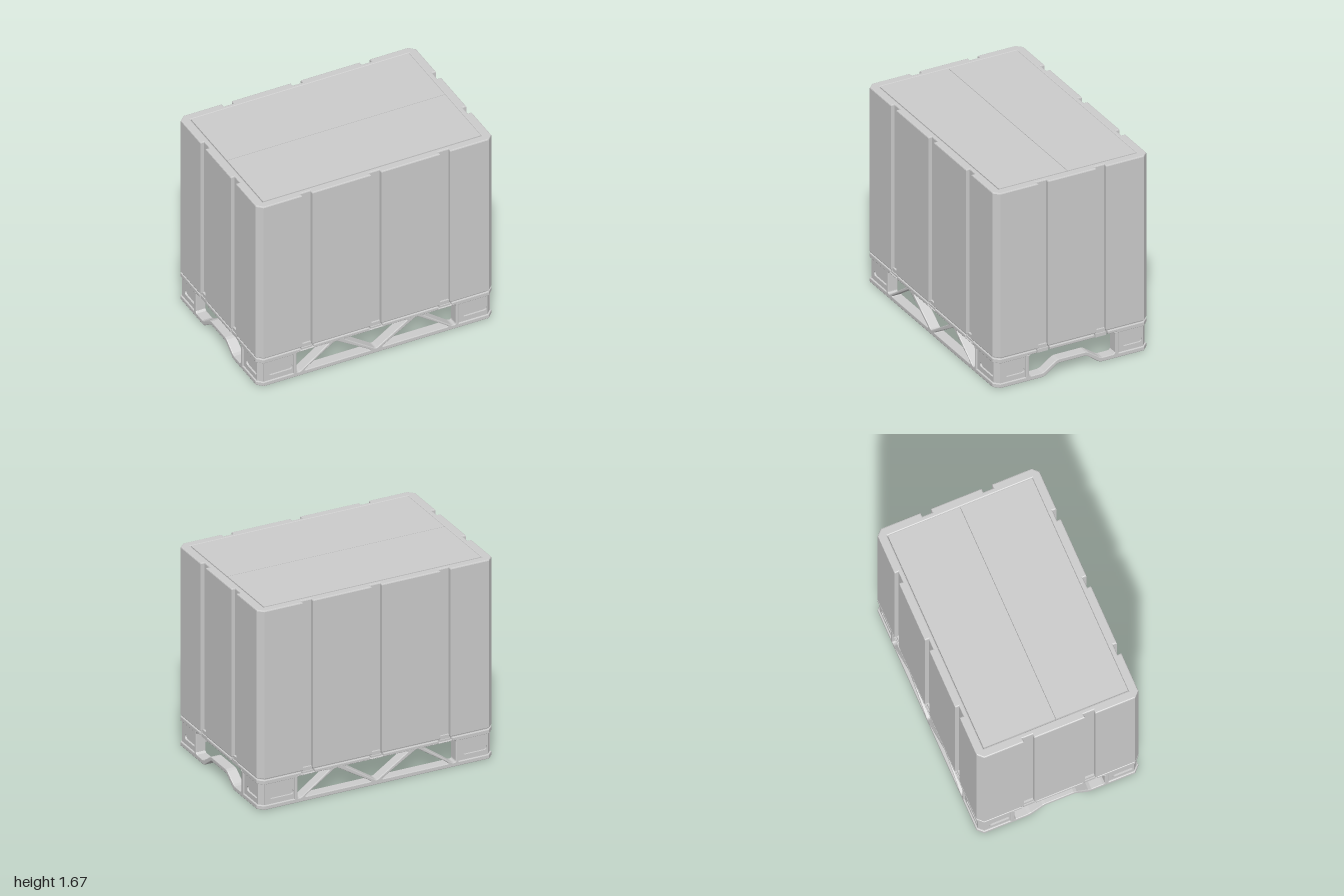
import * as THREE from 'three';

const X = 1, Z = 0.663, CH = 0.045;      // half sizes and corner chamfer
const TOP = 1.67, DECK = 0.22;
const LONG_SLOTS = [-0.585, 0, 0.585];   // groove positions on the long sides
const END_SLOTS = [-0.25, 0.25];         // groove positions on the ends

const mat = new THREE.MeshStandardMaterial({ color: 0xcccccc });
const shapeOf = pts => new THREE.Shape(pts.map(p => new THREE.Vector2(p[0], p[1])));

// Extrusion with a small rounded edge kept inside the outline
function extrude(shape, depth, b = 0) {
  const g = new THREE.ExtrudeGeometry(shape, {
    depth: depth - 2 * b, bevelEnabled: b > 0, bevelSize: b, bevelThickness: b,
    bevelOffset: -b, bevelSegments: 2, curveSegments: 6,
  });
  return g.translate(0, 0, b);
}

// Floor-plan shape (x, z) raised from y0 to y1
function plan(shape, y0, y1, b = 0) {
  return extrude(shape, y1 - y0, b).rotateX(-Math.PI / 2).translate(0, y0, 0);
}

function add(parent, name, geo) {
  const m = new THREE.Mesh(geo, mat);
  m.name = name;
  parent.add(m);
  return m;
}

// Chamfered rectangle with notches of the given width and depth
function outline(inset, width, depth) {
  const x = X - inset, z = Z - inset, pts = [];
  for (const s of [1, -1]) {
    pts.push([s * x, -s * (z - CH)]);
    for (const c of END_SLOTS) {
      const a = s * (c - width / 2), b = s * (c + width / 2);
      pts.push([s * x, a], [s * (x - depth), a], [s * (x - depth), b], [s * x, b]);
    }
    pts.push([s * x, s * (z - CH)], [s * (x - CH), s * z]);
    for (const c of [...LONG_SLOTS].reverse()) {
      const a = s * (c + width / 2), b = s * (c - width / 2);
      pts.push([a, s * z], [a, s * (z - depth)], [b, s * (z - depth)], [b, s * z]);
    }
    pts.push([-s * (x - CH), s * z]);
  }
  return shapeOf(pts);
}

function rectPath(x, z) {
  return new THREE.Path([[-x, -z], [-x, z], [x, z], [x, -z]].map(p => new THREE.Vector2(...p)));
}

// Polygon hole with slightly rounded corners
function roundedHole(pts, r) {
  const v = pts.map(p => new THREE.Vector2(...p)), n = v.length, path = new THREE.Path();
  v.forEach((p, i) => {
    const a = v[(i + n - 1) % n].clone().sub(p).setLength(r).add(p);
    const b = v[(i + 1) % n].clone().sub(p).setLength(r).add(p);
    if (i) path.lineTo(a.x, a.y); else path.moveTo(a.x, a.y);
    path.quadraticCurveTo(p.x, p.y, b.x, b.y);
  });
  path.closePath();
  return path;
}

// Corner post panel with a long rounded slot, from u0 to u1
function slotPanel(u0, u1) {
  const s = shapeOf([[u0, 0.03], [u1, 0.03], [u1, 0.225], [u0, 0.225]]);
  const h = new THREE.Path(), r = 0.022, y = 0.098, a = u0 + 0.065, b = u1 - 0.03;
  h.moveTo(a, y + r);
  h.absarc(a, y, r, Math.PI / 2, Math.PI * 1.5, false);
  h.absarc(b, y, r, -Math.PI / 2, Math.PI / 2, false);
  h.closePath();
  s.holes.push(h);
  return extrude(s, 0.015);
}

function buildBox() {
  const box = new THREE.Group();
  box.name = 'box';
  // Grooved walls, open in the middle for lid and floor
  const walls = outline(0, 0.085, 0.032);
  walls.holes.push(rectPath(0.928, 0.595));
  add(box, 'walls', plan(walls, 0.255, TOP, 0.009));
  // Two lid leaves with a fine seam around and between them
  for (const s of [1, -1]) {
    const leaf = new THREE.BoxGeometry(1.848, 0.04, 0.589);
    add(box, 'lidLeaf', leaf.translate(0, TOP - 0.021, s * 0.2965));
  }
  add(box, 'lidBacking', new THREE.BoxGeometry(1.86, 0.02, 1.2).translate(0, TOP - 0.045, 0));
  // Floor and base band
  add(box, 'floor', plan(outline(0.012, 0.11, 0.032), DECK + 0.003, 0.27));
  add(box, 'baseBand', plan(outline(0, 0.115, 0.045), DECK, 0.248, 0.006));
  // Stepped clips at the foot of every groove
  const clip = (x, z, turn) => {
    const g = new THREE.Group();
    g.name = 'grooveClip';
    add(g, 'clipBase', new THREE.BoxGeometry(0.09, 0.028, 0.05).translate(0, DECK + 0.01, -0.033));
    add(g, 'clipTop', new THREE.BoxGeometry(0.08, 0.03, 0.04).translate(0, DECK + 0.038, -0.036));
    g.position.set(x, 0, z);
    g.rotation.y = turn;
    box.add(g);
  };
  for (const s of [1, -1]) {
    for (const x of LONG_SLOTS) clip(x, s * Z, s > 0 ? 0 : Math.PI);
    for (const z of END_SLOTS) clip(s * X, z, s * Math.PI / 2);
  }
  return box;
}

function buildPallet() {
  const pallet = new THREE.Group();
  pallet.name = 'pallet';

  // Long side trusses
  const truss = shapeOf([[-0.7, 0], [0.7, 0], [0.7, 0.23], [-0.7, 0.23]]);
  for (const s of [1, -1]) {
    truss.holes.push(roundedHole([[s * 0.675, 0.036], [s * 0.675, 0.219], [s * 0.395, 0.219], [s * 0.645, 0.036]], 0.015));
    truss.holes.push(roundedHole([[s * 0.62, 0.036], [s * 0.345, 0.223], [s * 0.04, 0.036]], 0.025));
  }
  truss.holes.push(roundedHole([[-0.275, 0.219], [0, 0.036], [0.275, 0.219]], 0.02));

  // End bars, arched upwards in the middle, with short uprights
  const half = [[0.4, 0], [0.25, 0], [0.225, 0.01], [0.13, 0.08], [0.11, 0.086]];
  const upper = [[0.115, 0.12], [0.14, 0.112], [0.235, 0.045], [0.26, 0.036], [0.355, 0.036],
    [0.37, 0.05], [0.37, 0.208], [0.355, 0.222], [0.4, 0.222]];
  const mirror = a => a.map(([u, y]) => [-u, y]).reverse();
  const end = shapeOf([...half, ...mirror(half), ...mirror(upper), ...upper]);

  for (const s of [1, -1]) {
    const side = add(pallet, 'sideTruss', extrude(truss, 0.085, 0.006).translate(0, 0, Z - 0.085));
    const bar = add(pallet, 'endBar', extrude(end, 0.085, 0.006).translate(0, 0, X - 0.085));
    side.rotation.y = s > 0 ? 0 : Math.PI;
    bar.rotation.y = s * Math.PI / 2;
  }

  // Corner posts: foot, inset core and slotted panels
  const inner = [[0.915, 0.385], [0.915, 0.5], [0.83, 0.578], [0.69, 0.578]];
  const foot = [[0.69, Z], [X - CH, Z], [X, Z - CH], [X, 0.385], ...inner];
  const core = [[0.69, 0.636], [0.95, 0.636], [0.95, 0.651], [0.988, 0.613], [0.973, 0.613], [0.973, 0.385], ...inner];
  for (const sx of [1, -1]) for (const sz of [1, -1]) {
    const post = new THREE.Group();
    post.name = 'cornerPost';
    const at = pts => shapeOf(pts.map(([x, z]) => [sx * x, -sz * z]));
    add(post, 'postFoot', plan(at(foot), 0, 0.036, 0.006));
    add(post, 'postCore', plan(at(core), 0.03, 0.228));
    add(post, 'postCap', plan(at(foot), 0.212, 0.235, 0.004));
    const a = sx > 0 ? [0.695, 0.952] : [-0.952, -0.695];
    const long = slotPanel(0.695, 0.952);
    if (sx * sz < 0) long.translate(-(a[0] + a[1]) * sx, 0, 0);
    const longMesh = add(post, 'longSlotPanel', long.translate(0, 0, 0.636));
    longMesh.rotation.y = sz > 0 ? 0 : Math.PI;
    const short = slotPanel(0.395, 0.615);
    if (sx * sz > 0) short.translate(-1.01, 0, 0);
    const shortMesh = add(post, 'endSlotPanel', short.translate(0, 0, 0.973));
    shortMesh.rotation.y = sx * Math.PI / 2;
    pallet.add(post);
  }
  return pallet;
}

export function createModel() {
  const model = new THREE.Group();
  model.name = 'palletBox';
  model.add(buildPallet(), buildBox());
  return model;
}
